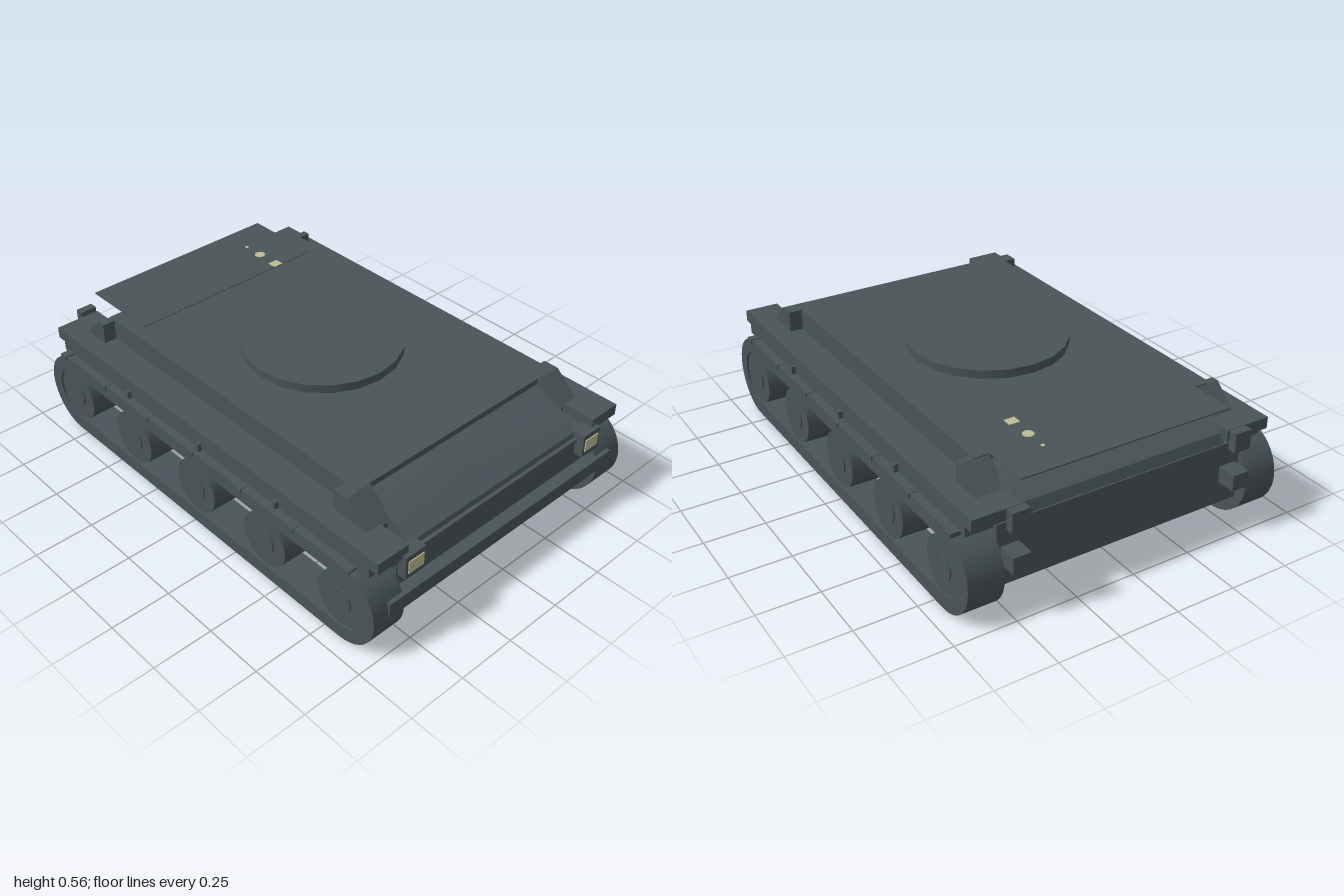
import * as THREE from 'three';
import { toCreasedNormals } from 'three/addons/utils/BufferGeometryUtils.js';

export function createModel() {
  const model = new THREE.Group();
  model.name = 'trackedVehicleHull';
  const steel = new THREE.MeshStandardMaterial({ color: 0x4a5458 });
  steel.name = 'slateSteel';
  const lamp = new THREE.MeshStandardMaterial({ color: 0xbcbc94 });
  lamp.name = 'paleLamp';

  const add = (name, geo, mat = steel) => {
    const m = new THREE.Mesh(geo, mat);
    m.name = name;
    model.add(m);
    return m;
  };
  // Box given by its extents on each axis
  const box = (name, [x0, x1], [y0, y1], [z0, z1], mat) =>
    add(name, new THREE.BoxGeometry(x1 - x0, y1 - y0, z1 - z0)
      .translate((x0 + x1) / 2, (y0 + y1) / 2, (z0 + z1) / 2), mat);
  // The same box on both sides
  const pair = (name, [x0, x1], y, z, mat) => {
    box(name + 'Left', [x0, x1], y, z, mat);
    box(name + 'Right', [-x1, -x0], y, z, mat);
  };
  // Side outline (z, y) extruded across x
  const slab = (name, shape, x0, x1) => {
    const g = new THREE.ExtrudeGeometry(shape, { depth: x1 - x0, bevelEnabled: false, curveSegments: 12 });
    g.rotateY(-Math.PI / 2).translate(x1, 0, 0);
    return add(name, toCreasedNormals(g, 0.6));
  };
  const outline = pts => new THREE.Shape(pts.map(p => new THREE.Vector2(...p)));
  const disc = (name, r, x0, x1, y, z, sides = 24) =>
    add(name, new THREE.CylinderGeometry(r, r, x1 - x0, sides)
      .rotateZ(Math.PI / 2).translate((x0 + x1) / 2, y, z));

  // Hull and sloped upper body
  box('lowerHull', [-0.535, 0.535], [0.105, 0.36], [-0.92, 0.95]);
  slab('upperHull', outline([
    [-0.92, 0.345], [0.95, 0.345], [0.935, 0.385], [0.91, 0.395], [0.74, 0.495],
    [-0.74, 0.495], [-0.9, 0.4],
  ]), -0.46, 0.46);
  box('deck', [-0.51, 0.51], [0.425, 0.52], [-0.71, 0.67]);
  box('deckFrontLip', [-0.51, 0.51], [0.488, 0.52], [0.67, 0.73]);
  box('deckRearLip', [-0.51, 0.51], [0.488, 0.52], [-0.74, -0.71]);
  box('frontSeam', [-0.565, 0.565], [0.355, 0.367], [0.9, 0.957]);

  // Turret ring
  add('turretRing', new THREE.CylinderGeometry(0.328, 0.328, 0.036, 20).translate(0, 0.537, 0));

  // Thin rear deck plate with small marker lamps
  box('rearDeckPlate', [-0.45, 0.45], [0.518, 0.523], [-0.935, -0.58]);
  box('rearMarkerSquare', [0.247, 0.293], [0.522, 0.5245], [-0.62, -0.58], lamp);
  add('rearMarkerRound', new THREE.CylinderGeometry(0.023, 0.023, 0.0025, 10).translate(0.27, 0.5235, -0.705), lamp);
  box('rearMarkerSmall', [0.263, 0.277], [0.522, 0.5245], [-0.803, -0.789], lamp);

  // Ledges along the sides and their corner plates
  pair('sideLedge', [0.45, 0.645], [0.36, 0.43], [-0.84, 0.83]);
  pair('frontCornerPlate', [0.5, 0.645], [0.382, 0.43], [0.82, 0.97]);
  pair('rearCornerPlate', [0.45, 0.645], [0.382, 0.43], [-0.94, -0.83]);
  pair('frontFender', [0.53, 0.645], [0.34, 0.384], [0.82, 0.93]);
  pair('rearFender', [0.53, 0.645], [0.34, 0.384], [-0.9, -0.83]);
  pair('fenderStrip', [0.53, 0.645], [0.34, 0.362], [-0.88, 0.9]);

  // Front bumper and headlights
  box('frontBumper', [-0.61, 0.61], [0.178, 0.24], [0.94, 1.0]);
  pair('headlightHousing', [0.432, 0.528], [0.295, 0.395], [0.93, 0.988]);
  pair('headlightLens', [0.442, 0.516], [0.318, 0.372], [0.986, 0.992], lamp);

  // Rear blocks
  pair('rearUpperBlock', [0.445, 0.518], [0.36, 0.44], [-0.99, -0.955]);
  pair('rearUpperBracket', [0.46, 0.505], [0.385, 0.41], [-0.96, -0.88]);
  pair('rearLowerBlock', [0.445, 0.518], [0.2, 0.268], [-1.0, -0.91]);

  // Running gear on each side
  const front = 0.82, rear = -0.8, axle = 0.175;
  const loop = (path, r) => {
    path.absarc(front, axle, r, -Math.PI / 2, Math.PI / 2, false);
    path.absarc(rear, axle, r, Math.PI / 2, Math.PI * 1.5, false);
    path.closePath();
    return path;
  };
  const trackShape = loop(new THREE.Shape(), 0.175);
  trackShape.holes.push(loop(new THREE.Path(), 0.115));

  for (const s of [1, -1]) {
    const side = s > 0 ? 'Left' : 'Right';
    const span = (a, b) => (s > 0 ? [a, b] : [-b, -a]);
    slab('track' + side, trackShape, ...span(0.535, 0.68));

    // Road wheels with hub caps
    for (let i = 0; i < 5; i++) {
      const z = front + (rear - front) * i / 4;
      disc('wheel' + side + i, 0.115, ...span(0.535, 0.672), axle, z);
      disc('hub' + side + i, 0.055, ...span(0.67, 0.678), axle, z, 16);
    }

    // Small brackets along the fender
    for (let i = -3; i <= 3; i++)
      box('bracket' + side + (i + 3), span(0.62, 0.686), [0.335, 0.352], [i * 0.285 - 0.018, i * 0.285 + 0.018]);
    for (const z of [0.46, 0.02, -0.43])
      box('fenderRib' + side, span(0.63, 0.662), [0.345, 0.382], [z - 0.009, z + 0.009]);

    // Sloped cheeks beside the front and rear slopes
    slab('frontCheek' + side, outline([[0.67, 0.425], [0.84, 0.425], [0.735, 0.518], [0.67, 0.518]]), ...span(0.45, 0.565));
    slab('rearCheek' + side, outline([[-0.84, 0.425], [-0.71, 0.425], [-0.71, 0.516], [-0.74, 0.516]]), ...span(0.45, 0.565));
  }
  return model;
}
